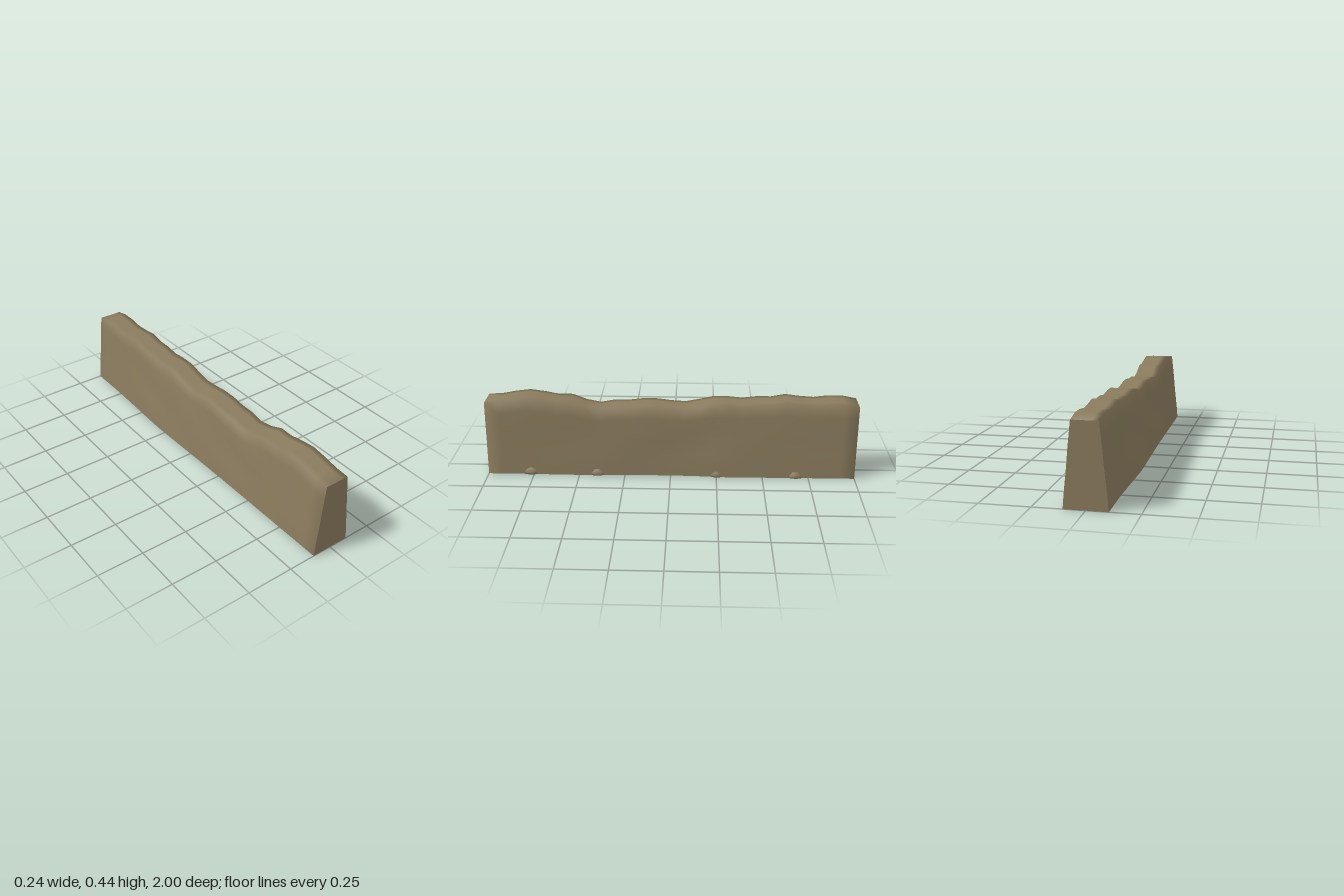
import * as THREE from 'three';

// Ridge heights at even steps from the front end (z = 1) to the back end (z = -1)
const RIDGE = [0.405, 0.41, 0.425, 0.435, 0.425, 0.41, 0.41, 0.38, 0.365, 0.38, 0.38, 0.39, 0.39, 0.38,
  0.375, 0.39, 0.408, 0.408, 0.4, 0.41, 0.41, 0.425, 0.415, 0.41, 0.42, 0.42, 0.405];
// Half widths of the foot along the same run
const FOOT_LEFT = [0.105, 0.105, 0.108, 0.105, 0.098, 0.1, 0.111, 0.107, 0.105, 0.104];
const FOOT_RIGHT = [0.105, 0.106, 0.107, 0.108, 0.111, 0.116, 0.12, 0.112, 0.105, 0.105];
// Share of the way from foot to shoulder, at even heights
const TAPER = [0, 0.14, 0.32, 0.5, 0.64, 0.82, 1];

const sample = (list, t) => {
  const f = t * (list.length - 1);
  const i = Math.min(Math.floor(f), list.length - 2);
  return THREE.MathUtils.lerp(list[i], list[i + 1], f - i);
};

// One cross-section: up the left flank, over the ridge, down the right flank
function section(row) {
  const t = row / (RIDGE.length - 1);
  const z = 1 - 2 * t;
  const inner = Math.sin(Math.PI * t);
  const flank = (foot, side) => TAPER.map((share, i) => {
    const h = i / (TAPER.length - 1);
    const ripple = 0.003 * inner * Math.sin(z * 9 + h * 8 + side * 2) * Math.sin(Math.PI * h);
    const x = THREE.MathUtils.lerp(sample(foot, t), 0.064, share) + ripple;
    return [side * x, h * RIDGE[row], z];
  });
  const top = [0.032, 0, -0.032].map((x) => [x, RIDGE[row], z]);
  return [...flank(FOOT_LEFT, 1), ...top, ...flank(FOOT_RIGHT, -1).reverse()];
}

function geometryFrom(points, index) {
  const g = new THREE.BufferGeometry();
  g.setAttribute('position', new THREE.Float32BufferAttribute(points.flat(), 3));
  g.setIndex(index);
  g.computeVertexNormals();
  return g;
}

// Skin joining neighbouring sections
function loft(sections) {
  const n = sections[0].length;
  const index = [];
  for (let r = 0; r < sections.length - 1; r++) {
    for (let i = 0; i < n - 1; i++) {
      const a = r * n + i, b = a + 1, c = a + n, d = c + 1;
      index.push(a, c, b, b, c, d);
    }
  }
  return geometryFrom(sections.flat(), index);
}

// Flat end made from strips between the two flanks
function endCap(points, front) {
  const index = [];
  const last = points.length - 1;
  for (let i = 0; i < last / 2 - 1; i++) {
    const a = i, b = i + 1, c = last - i, d = last - i - 1;
    if (front) index.push(a, b, c, b, d, c);
    else index.push(a, c, b, b, c, d);
  }
  return geometryFrom(points, index);
}

export function createModel() {
  const group = new THREE.Group();
  const earth = new THREE.MeshStandardMaterial({ color: 0x8b7c5e });
  earth.name = 'earth';
  const add = (geometry, name) => {
    const mesh = new THREE.Mesh(geometry, earth);
    mesh.name = name;
    group.add(mesh);
    return mesh;
  };

  const sections = RIDGE.map((_, row) => section(row));
  const n = sections[0].length;

  // Weathered flanks and ridge, softened toward the two ends
  const skin = loft(sections);
  const normal = skin.attributes.normal;
  const v = new THREE.Vector3();
  for (let i = 0; i < normal.count; i++) {
    const end = i < n ? 1 : i >= normal.count - n ? -1 : 0;
    if (!end) continue;
    v.fromBufferAttribute(normal, i);
    v.z += 0.7 * end;
    v.normalize();
    normal.setXYZ(i, v.x, v.y, v.z);
  }
  add(skin, 'wallBody');

  // Flat ends and underside
  add(endCap(sections[0], true), 'frontEnd');
  add(endCap(sections[sections.length - 1], false), 'backEnd');
  add(loft(sections.map((s) => [s[n - 1], s[0]])), 'underside');

  // Small stones half buried along the left foot
  const profile = [[0, 0], [0.95, 0], [1, 0.35], [0.6, 0.95], [0, 1]].map(([x, y]) => new THREE.Vector2(x, y));
  const stones = [
    [0.086, 0.765, 0.03, 0.04, 0.046],
    [0.088, 0.4, 0.028, 0.036, 0.05],
    [0.088, -0.25, 0.028, 0.034, 0.04],
    [0.089, -0.68, 0.029, 0.035, 0.045],
  ];
  stones.forEach(([x, z, rx, h, rz], i) => {
    const g = new THREE.LatheGeometry(profile, 8, i * 0.3);
    g.scale(rx, h, rz);
    add(g, 'footStone').position.set(x, 0, z);
  });

  return group;
}
